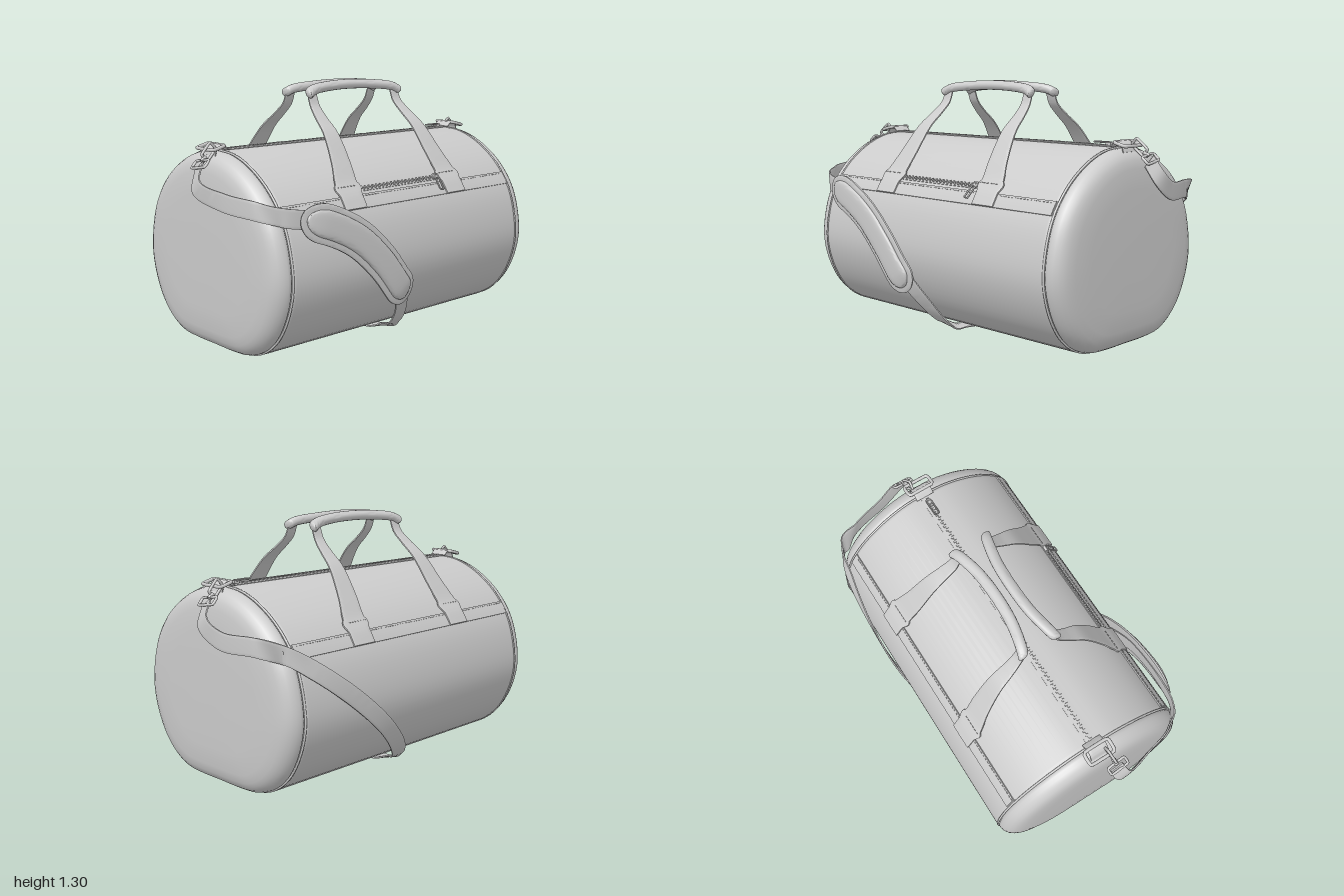
import * as THREE from 'three';
import { mergeGeometries, toCreasedNormals } from 'three/addons/utils/BufferGeometryUtils.js';

const ZC = -0.02; // z of the bag's middle plane
const V = (x, y, z) => new THREE.Vector3(x, y, z);
const mat = new THREE.MeshStandardMaterial({ color: 0xcccccc, side: THREE.DoubleSide });

// Half of the bag's cross-section, top to bottom: distance from middle plane, height
const half = new THREE.CatmullRomCurve3([
  [0, 0.987], [0.12, 0.975], [0.26, 0.92], [0.4, 0.815], [0.5, 0.67], [0.55, 0.45],
  [0.53, 0.31], [0.46, 0.165], [0.37, 0.075], [0.27, 0.027], [0.15, 0.015], [0, 0.015],
].map(([d, y]) => V(d, y, 0)));
const HALF_N = 48;

// Point on the section at parameter u, pushed out by off
function at(u, side, off = 0) {
  const p = half.getPointAt(u), t = half.getTangentAt(u);
  if (u === 0 || u === 1) t.set(u ? -1 : 1, 0, 0);
  return { z: ZC + side * (p.x - t.y * off), y: p.y + t.x * off, nz: -t.y * side, ny: t.x };
}
// Parameter at a given height
function uAt(y) {
  let a = 0, b = 1;
  for (let i = 0; i < 30; i++) {
    const m = (a + b) / 2;
    if (half.getPointAt(m).y > y) a = m; else b = m;
  }
  return a < 1e-6 ? 0 : a;
}

// Skin over rings of points, closed at both ends
function loft(rings, crease = 0.7) {
  const n = rings[0].length;
  const mid = r => r.reduce((s, p) => s.add(p), V(0, 0, 0)).divideScalar(n);
  const first = mid(rings[0]), last = mid(rings[rings.length - 1]);
  const pts = [...rings.flat(), first, last], idx = [], k = rings.length * n;
  for (let j = 0; j < n; j++) {
    const j2 = (j + 1) % n, e = k - n;
    idx.push(k, j2, j, k + 1, e + j, e + j2);
    for (let i = 0; i < rings.length - 1; i++) {
      const a = i * n + j, b = i * n + j2;
      idx.push(a, b, a + n, b, b + n, a + n);
    }
  }
  const g = new THREE.BufferGeometry().setFromPoints(pts);
  g.setIndex(idx);
  return toCreasedNormals(g, crease);
}

// Ribbon through [x, y, z, wx, wy, wz]: centre and half-width vector
function ribbon(ctrl, thick, { power = 0.3, round = 0, seg = 60, sides = 16, crease = 0.7 } = {}) {
  const c = new THREE.CatmullRomCurve3(ctrl.map(p => V(p[0], p[1], p[2])));
  const w = new THREE.CatmullRomCurve3(ctrl.map(p => V(p[3], p[4], p[5])));
  const pw = v => Math.sign(v) * Math.pow(Math.abs(v), power);
  const rings = [];
  for (let i = 0; i <= seg; i++) {
    const t = (1 - Math.cos(Math.PI * i / seg)) / 2 * (round ? 1 : 0) + (round ? 0 : i / seg);
    const e = round ? Math.max(0, 1 - Math.min(t, 1 - t) / round) : 0;
    const s = Math.max(0.02, Math.sqrt(1 - e * e));
    const p = c.getPoint(t), W = w.getPoint(t);
    const N = c.getTangent(t).cross(W).normalize().multiplyScalar(thick / 2);
    rings.push(Array.from({ length: sides }, (_, j) => {
      const a = (j + 0.5) / sides * Math.PI * 2;
      return p.clone().addScaledVector(W, s * pw(Math.cos(a))).addScaledVector(N, s * pw(Math.sin(a)));
    }));
  }
  return loft(rings, crease);
}

// Thin strip of fabric lying on the bag between two heights
function band(x0, x1, yTop, yBot, side, off) {
  const a = uAt(yTop), b = yBot <= 0.015 ? 1 : uAt(yBot), n = 12, out = [], inn = [];
  for (let i = 0; i <= n; i++) {
    const u = a + (b - a) * i / n, o = at(u, side, off), q = at(u, side, -0.01);
    out.push(new THREE.Vector2(-o.z, o.y));
    inn.unshift(new THREE.Vector2(-q.z, q.y));
  }
  const g = new THREE.ExtrudeGeometry(new THREE.Shape([...out, ...inn]), { depth: x1 - x0, bevelEnabled: false });
  g.rotateY(Math.PI / 2).translate(x0, 0, 0);
  return toCreasedNormals(g, 0.5);
}

// Row of little blocks on the bag: stitches, or zip teeth when zig is set
function row(x0, x1, step, y, side, size, off, zig = 0) {
  const s = at(uAt(y), side, off), list = [], rot = -Math.atan2(s.ny, s.nz);
  for (let x = x0, i = 0; x <= x1; x += step, i++) {
    list.push(new THREE.BoxGeometry(...size).translate(0, i % 2 ? zig : -zig, 0).rotateX(rot).translate(x, s.y, s.z));
  }
  return mergeGeometries(list);
}

// Rounded rectangular wire loop in the local xy plane
function wireLoop(w, h, r) {
  const x = w / 2, y = h / 2, k = Math.min(x, y) * 0.35;
  const pts = [[x, y - k], [x - k, y], [-x + k, y], [-x, y - k], [-x, -y + k], [-x + k, -y], [x - k, -y], [x, -y + k]];
  const c = new THREE.CatmullRomCurve3(pts.map(p => V(p[0], p[1], 0)), true, 'catmullrom', 0.3);
  return new THREE.TubeGeometry(c, 40, r, 8, true);
}

export function createModel() {
  const bag = new THREE.Group();
  bag.name = 'duffelBag';
  const add = (name, geo, parent = bag) => {
    const m = new THREE.Mesh(geo, mat);
    m.name = name;
    parent.add(m);
    return m;
  };

  // Body with rounded, slightly bulging ends
  const ring = (x, s) => Array.from({ length: HALF_N * 2 }, (_, i) => {
    const p = i <= HALF_N ? at(i / HALF_N, 1) : at((2 * HALF_N - i) / HALF_N, -1);
    return V(x, 0.5 + (p.y - 0.5) * s, ZC + (p.z - ZC) * s);
  });
  const end = [[0.905, 0.3], [0.903, 0.6], [0.899, 0.8], [0.89, 0.88], [0.88, 0.92], [0.865, 0.955],
    [0.845, 0.98], [0.825, 0.992], [0.81, 0.993], [0.802, 0.98], [0.795, 0.997], [0.78, 1]];
  const sections = [...end.map(([x, s]) => [-x, s]), ...end.slice().reverse()];
  add('body', loft(sections.map(([x, s]) => ring(x, s)), 1));
  for (const sx of [-1, 1]) {
    const path = new THREE.CatmullRomCurve3(ring(sx * 0.8, 0.995), true);
    add('endPiping', new THREE.TubeGeometry(path, 120, 0.006, 6, true));
  }

  for (const s of [1, -1]) {
    // Side strips with stitching, and the bottom panel
    add('sideStrip', band(-0.79, 0.79, 0.765, 0.705, s, 0.006));
    add('stripStitching', row(-0.78, 0.78, 0.02, 0.757, s, [0.011, 0.003, 0.003], 0.007));
    add('bottomPanel', band(-0.78, 0.78, 0.055, 0.015, s, 0.003));

    // Carrying handle: two tapering webbing legs and a padded grip
    const handle = new THREE.Group();
    handle.name = 'handle';
    bag.add(handle);
    for (const sx of [-1, 1]) {
      const base = [[0.705, 0.36], [0.76, 0.358], [0.815, 0.352]].map(([y, x]) => {
        const p = at(uAt(y), s, 0.01);
        return [sx * x, p.y, p.z, 0.07, 0, 0];
      });
      const rise = [[0.33, 0.915, 0.345, 0.06], [0.31, 1.05, 0.247, 0.046], [0.3, 1.12, 0.165, 0.036],
        [0.292, 1.175, 0.11, 0.03], [0.29, 1.235, 0.085, 0.028]]
        .map(([x, y, d, w]) => [sx * x, y, ZC + s * d, w, 0, 0]);
      add('handleLeg', ribbon([...base, ...rise], 0.012), handle);
      const x = sx * 0.355;
      add('legStitching', row(x - 0.06, x + 0.06, 0.02, 0.8, s, [0.011, 0.004, 0.003], 0.017), handle);
    }
    const grip = [[-0.325, 1.228, 0.095], [-0.28, 1.25, 0.08], [-0.15, 1.265, 0.053], [0, 1.27, 0.045],
      [0.15, 1.265, 0.053], [0.28, 1.25, 0.08], [0.325, 1.228, 0.095]]
      .map(([x, y, d]) => [x, y, ZC + s * d, 0, -0.01, s * 0.027]);
    add('handleGrip', ribbon(grip, 0.046, { power: 0.85, round: 0.06, crease: 1.2 }), handle);
  }

  // Zips: main one along the top, a short one on the front pocket
  for (const s of [1, -1]) add('topZipTape', band(-0.79, 0.79, 0.99, 0.985, s, 0.003));
  add('topZipTeeth', row(-0.79, 0.78, 0.013, 0.99, 1, [0.009, 0.012, 0.008], 0.004, 0.004));
  add('frontZipTape', band(-0.28, 0.28, 0.802, 0.778, 1, 0.003));
  add('frontZipTeeth', row(-0.28, 0.26, 0.013, 0.79, 1, [0.009, 0.012, 0.008], 0.005, 0.004));
  const puller = (x, y, turn) => {
    const p = at(uAt(y), 1, 0.012), g = new THREE.Group();
    g.name = 'zipPuller';
    g.position.set(x, p.y, p.z);
    g.rotation.x = -Math.atan2(p.ny, p.nz);
    add('slider', new THREE.BoxGeometry(0.03, 0.026, 0.014), g);
    const tab = add('pullTab', wireLoop(0.09, 0.024, 0.004), g);
    tab.rotation.z = turn;
    tab.position.set(-Math.cos(turn) * 0.04, -Math.sin(turn) * 0.04, 0.006);
    bag.add(g);
  };
  puller(0.74, 0.99, 0);
  puller(0.26, 0.79, Math.PI / 2.2);

  // Ring, snap hook and strap buckle on each end, half a turn apart
  for (const turn of [0, Math.PI]) {
    const g = new THREE.Group();
    g.name = 'strapHardware';
    g.position.z = ZC;
    g.rotation.y = turn;
    bag.add(g);
    const loop = add('anchorRing', wireLoop(0.07, 0.14, 0.009), g);
    loop.position.set(0.85, 1.005, 0);
    loop.rotation.set(Math.PI / 2, -0.25, 0);
    add('anchorTab', ribbon([[0.78, 0.99, 0, 0, 0, 0.05], [0.815, 1.015, 0, 0, 0, 0.05],
      [0.845, 1.0, 0, 0, 0, 0.05], [0.86, 0.965, 0, 0, 0, 0.05]], 0.008, { seg: 16 }), g);
    const hook = new THREE.Group();
    hook.name = 'snapHook';
    hook.position.set(0.915, 0.965, -0.045);
    hook.quaternion.setFromUnitVectors(V(0, 1, 0), V(-0.72, 0.68, 0.15).normalize());
    g.add(hook);
    const eye = add('hookEye', wireLoop(0.045, 0.08, 0.007), hook);
    eye.position.y = 0.035;
    add('swivel', new THREE.CylinderGeometry(0.012, 0.012, 0.03, 12), hook).position.y = -0.012;
    const buckle = add('strapBuckle', wireLoop(0.1, 0.045, 0.007), hook);
    buckle.position.y = -0.042;
    buckle.rotation.y = Math.PI / 2;
  }

  // Shoulder strap: right end, down the back, under the bag, up the front, left end
  add('shoulderStrap', ribbon([
    [0.945, 0.925, -0.06, 0, 0.025, -0.035], [0.99, 0.845, -0.085, 0, 0.03, -0.033],
    [0.98, 0.775, -0.2, 0, 0.044, -0.01], [0.935, 0.765, -0.38, 0, 0.045, 0],
    [0.87, 0.74, -0.51, 0, 0.045, 0], [0.74, 0.66, -0.555, -0.025, 0.037, 0.01],
    [0.5, 0.49, -0.583, -0.03, 0.034, 0], [0.27, 0.3, -0.57, -0.033, 0.03, -0.005],
    [0.1, 0.14, -0.5, -0.04, 0.018, -0.01], [0.01, 0.045, -0.405, -0.045, 0, 0],
    [0, 0.007, -0.28, -0.045, 0, 0], [-0.01, 0.006, 0, -0.045, 0, 0],
    [-0.01, 0.007, 0.24, -0.045, 0, 0], [-0.01, 0.05, 0.375, -0.045, 0, 0],
    [-0.05, 0.16, 0.47, -0.043, -0.015, 0], [-0.14, 0.3, 0.538, -0.033, -0.03, 0],
    [-0.26, 0.43, 0.548, -0.03, -0.034, 0], [-0.42, 0.59, 0.545, -0.025, -0.038, 0],
    [-0.675, 0.7, 0.52, -0.01, -0.044, 0], [-0.82, 0.73, 0.485, 0, -0.045, 0],
    [-0.91, 0.76, 0.38, 0, -0.045, 0], [-0.955, 0.78, 0.22, 0, -0.044, -0.01],
    [-0.99, 0.835, 0.06, 0, -0.033, -0.03], [-0.945, 0.925, 0.02, 0, -0.025, -0.035],
  ], 0.01, { seg: 220, sides: 12 }));

  // Shoulder pad: flat backing with a raised cushion
  const pad = (w, z, trim) => [[-0.75 + trim, 0.72 - trim * 0.2, 0.524], [-0.58, 0.67, 0.542], [-0.42, 0.585, 0.555],
    [-0.27, 0.45, 0.562], [-0.17, 0.33, 0.56], [-0.085 - trim * 0.7, 0.235 + trim * 0.7, 0.55]]
    .map(([x, y, pz], i) => {
      const a = [1.35, 1.15, 0.9, 0.76, 0.72, 0.72][i];
      return [x, y, pz + z, w * Math.cos(a), w * Math.sin(a), 0];
    });
  add('padBacking', ribbon(pad(0.095, 0, 0), 0.018, { round: 0.16, seg: 64, sides: 20 }));
  add('padCushion', ribbon(pad(0.066, 0.009, 0.03), 0.036, { power: 0.6, round: 0.16, seg: 64, sides: 24, crease: 1.2 }));

  return bag;
}
